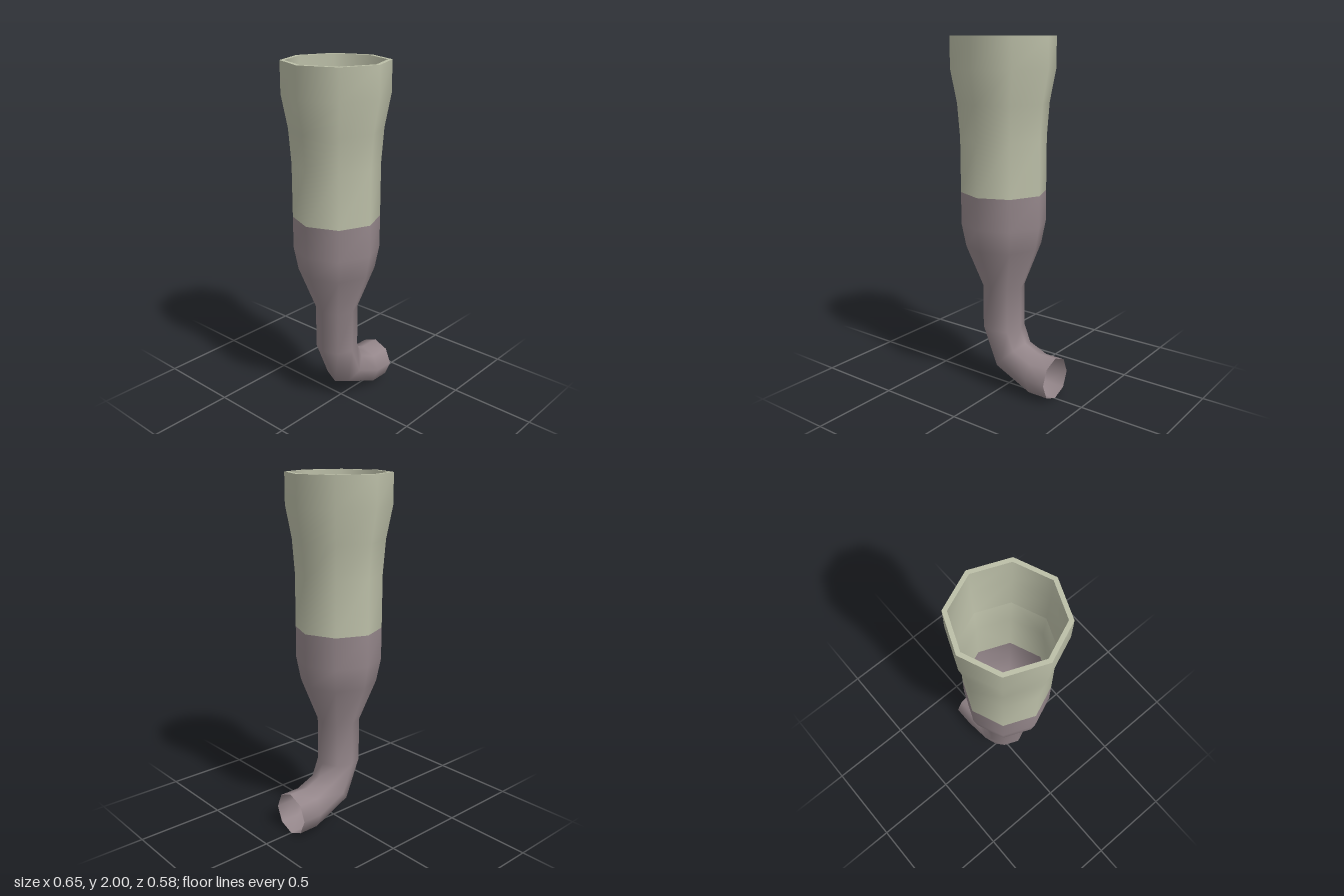
import * as THREE from 'three';

const SIDES = 8;
const AXIS = -0.037; // x of the upright tube

// Skin a row of octagonal rings [x, y, radius, tilt]; tilt turns the ring from facing down to facing +x.
function loft(name, rings, material) {
  const pos = [], index = [];
  for (const [cx, cy, r, tilt = 0] of rings) {
    for (let i = 0; i < SIDES; i++) {
      const a = (i / SIDES) * Math.PI * 2;
      const u = Math.cos(a) * r;
      pos.push(cx + u * Math.cos(tilt), cy + u * Math.sin(tilt), Math.sin(a) * r);
    }
  }
  for (let k = 0; k < rings.length - 1; k++) {
    for (let i = 0; i < SIDES; i++) {
      const j = (i + 1) % SIDES;
      const a = k * SIDES + i, b = k * SIDES + j, c = a + SIDES, d = b + SIDES;
      index.push(a, c, b, b, c, d);
    }
  }
  const geo = new THREE.BufferGeometry();
  geo.setAttribute('position', new THREE.Float32BufferAttribute(pos, 3));
  geo.setIndex(index);
  geo.computeVertexNormals();
  const mesh = new THREE.Mesh(geo, material);
  mesh.name = name;
  return mesh;
}

// Rings on the upright axis from [radius, y] pairs
const upright = (pairs) => pairs.map(([r, y]) => [AXIS, y, r]);

export function createModel() {
  const paleGreen = new THREE.MeshStandardMaterial({ name: 'paleGreen', color: 0xbcbfa8, side: THREE.DoubleSide });
  const mauve = new THREE.MeshStandardMaterial({ name: 'mauve', color: 0x95878b, side: THREE.DoubleSide });

  const group = new THREE.Group();
  group.name = 'funnelPipe';

  // Open outlet, elbow, narrow neck and lower funnel in one smooth skin
  group.add(loft('lowerPipe', [
    [0.323, 0.122, 0.122, Math.PI / 2],
    [0.203, 0.122, 0.122, Math.PI / 2],
    [0.032, 0.197, 0.119, Math.PI / 4],
    ...upright([[0.12, 0.36], [0.12, 0.61], [0.215, 0.85], [0.24, 0.98], [0.24, 1.16]]),
  ], mauve));

  // Flared upper sleeve
  group.add(loft('upperSleeve', upright([
    [0.24, 1.16], [0.24, 1.46], [0.254, 1.65], [0.288, 1.83], [0.288, 2],
  ]), paleGreen));

  // Flat rim and the inner face of the lip
  group.add(loft('rim', upright([[0.288, 2], [0.264, 2]]), paleGreen));
  group.add(loft('innerLip', upright([[0.264, 2], [0.264, 1.83], [0.25, 1.63]]), paleGreen));

  return group;
}
